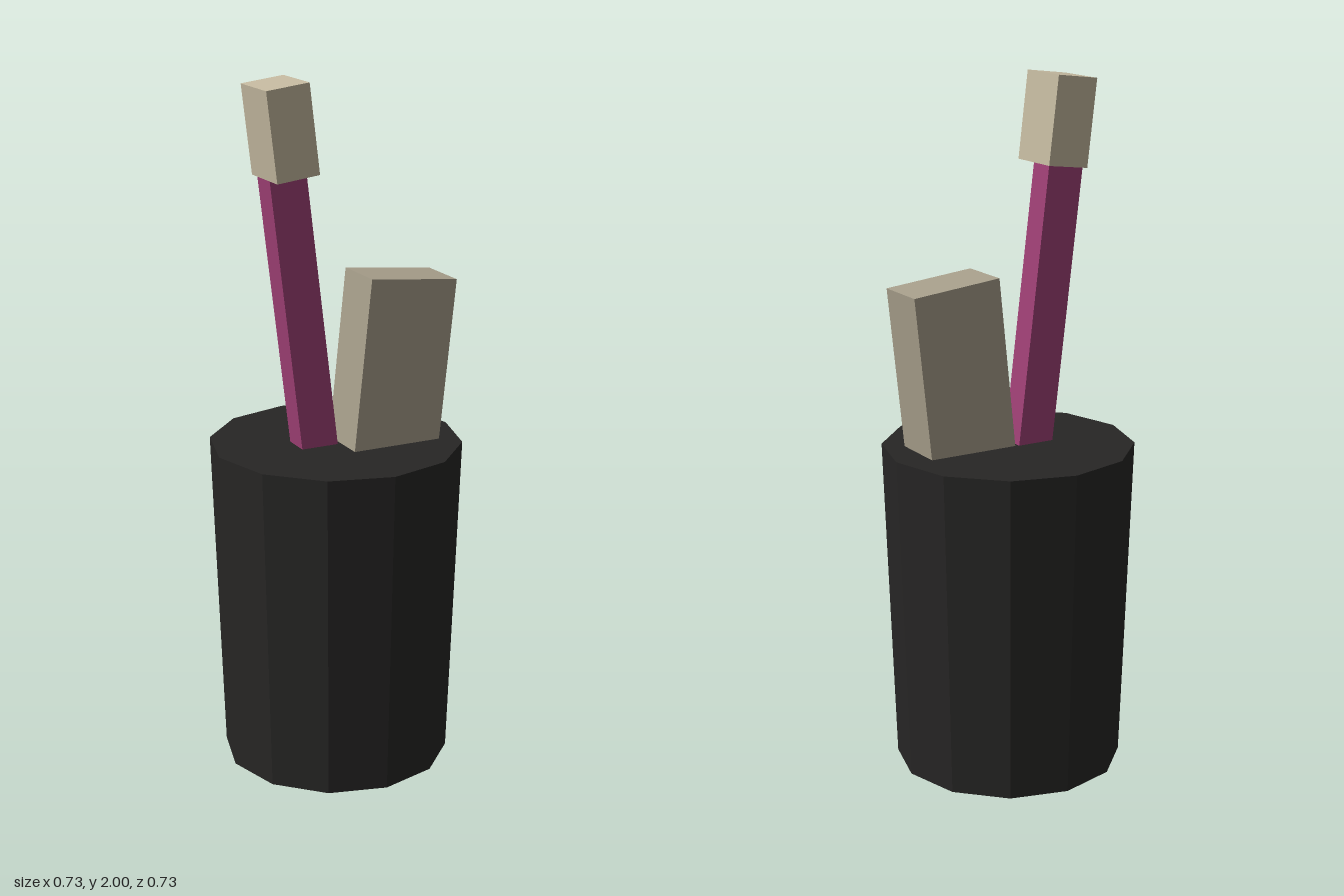
import * as THREE from 'three';

const material = (color) => new THREE.MeshStandardMaterial({ color, flatShading: true });

// A box hung from the centre of its top face and leaned sideways
function leaningBox(name, size, top, lean, color) {
  const geometry = new THREE.BoxGeometry(...size);
  geometry.translate(0, -size[1] / 2, 0);
  const mesh = new THREE.Mesh(geometry, material(color));
  mesh.name = name;
  mesh.position.set(...top);
  mesh.rotation.z = lean;
  return mesh;
}

export function createModel() {
  const group = new THREE.Group();
  group.name = 'cupWithUtensils';

  // Tapered twelve-sided cup with a closed top
  const cupHeight = 0.957;
  const cup = new THREE.Mesh(
    new THREE.CylinderGeometry(0.363, 0.33, cupHeight, 12),
    material(0x272625)
  );
  cup.name = 'cup';
  cup.position.y = cupHeight / 2;
  group.add(cup);

  // Slim brush: handle sunk into the cup, head set forward of it
  const brush = new THREE.Group();
  brush.name = 'brush';
  brush.add(
    leaningBox('brushHandle', [0.111, 0.9, 0.08], [-0.165, 1.755, 0], 0.12, 0xa04076),
    leaningBox('brushHead', [0.127, 0.25, 0.163], [-0.198, 1.992, 0.036], 0.12, 0xc5baa0)
  );
  group.add(brush);

  // Wide flat block leaning the other way
  group.add(leaningBox('wideBlock', [0.27, 0.6, 0.162], [0.184, 1.436, 0.045], -0.105, 0xa8a08c));

  return group;
}
